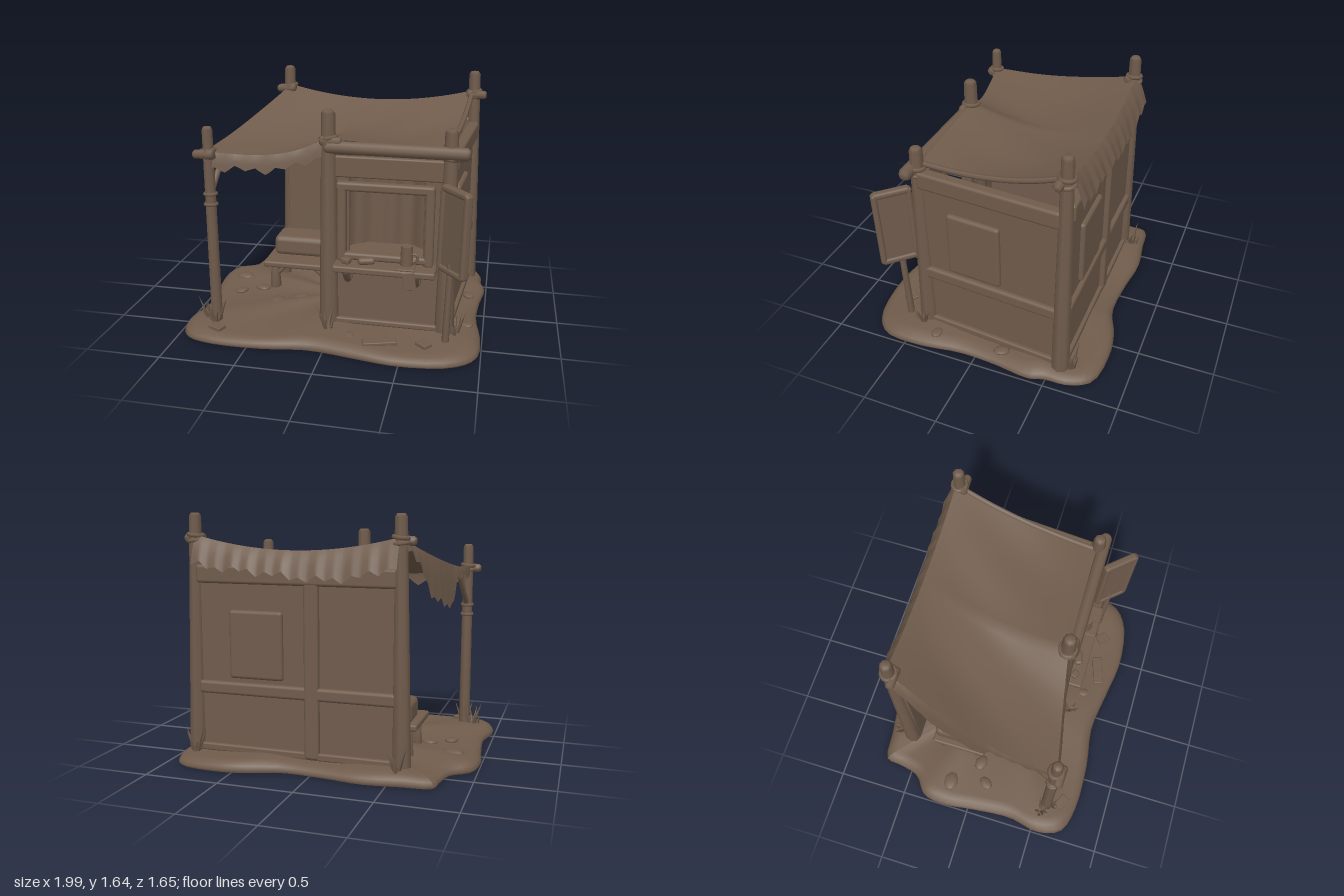
import * as THREE from 'three';
import { RoundedBoxGeometry } from 'three/addons/geometries/RoundedBoxGeometry.js';

const clay = new THREE.MeshStandardMaterial({ color: 0x705c4c, side: THREE.DoubleSide });
clay.name = 'brown clay';
const V = (x, y, z) => new THREE.Vector3(x, y, z);
const { lerp, smoothstep } = THREE.MathUtils;

function add(parent, name, geo, x = 0, y = 0, z = 0) {
  const m = new THREE.Mesh(geo, clay);
  m.name = name;
  m.position.set(x, y, z);
  parent.add(m);
  return m;
}
const block = (p, name, w, h, d, x, y, z, r = 0.012) =>
  add(p, name, new RoundedBoxGeometry(w, h, d, 2, Math.min(r, w / 2.1, h / 2.1, d / 2.1)), x, y, z);

// Tapered pole between two points, with chamfered ends
function pole(p, name, a, b, r0, r1, sides = 8) {
  const len = a.distanceTo(b), c = Math.min(0.02, len * 0.1);
  const pts = [[0, 0], [r0 * 0.7, 0], [r0, c], [lerp(r0, r1, 0.45), len * 0.45], [r1, len - c], [r1 * 0.65, len], [0, len]];
  const m = add(p, name, new THREE.LatheGeometry(pts.map(q => new THREE.Vector2(...q)), sides), a.x, a.y, a.z);
  m.quaternion.setFromUnitVectors(V(0, 1, 0), b.clone().sub(a).normalize());
  return m;
}

// Sheet whose points follow a rule of u and v
function sheet(p, name, rule, nu, nv) {
  const geo = new THREE.PlaneGeometry(1, 1, nu, nv), pos = geo.attributes.position;
  for (let i = 0; i < pos.count; i++) pos.setXYZ(i, ...rule(pos.getX(i) + 0.5, 0.5 - pos.getY(i)));
  geo.computeVertexNormals();
  return add(p, name, geo);
}

// Heights and depths of the awning
function awningPoint(u, v) {
  const leftX = lerp(-0.54, -0.79, Math.sin(v * Math.PI / 2)), rightX = lerp(0.82, 0.73, v);
  const frontZ = u < 0.52 ? lerp(0.57, 0.42, u / 0.52) : lerp(0.42, 0.41, (u - 0.52) / 0.48);
  const back = 1.5 - 0.36 * u * (1 - u);
  const t = u / 0.5;
  const front = u < 0.5 ? lerp(1.25, 1.35, t) - 0.4 * t * (1 - t) * (0.4 + 0.6 * t) : lerp(1.35, 1.31, t - 1);
  const sag = 0.085 * Math.sin(Math.PI * v) * (0.75 + 0.25 * Math.sin(Math.PI * u));
  const ripple = 0.006 * Math.sin(u * 17 + v * 5) * Math.sin(Math.PI * v);
  return [lerp(leftX, rightX, u), lerp(back, front, v) - sag + ripple, lerp(-0.59, frontZ, v)];
}
// Ragged zigzag edge
const jag = s => 0.035 * Math.abs(((s * 12) % 1) * 2 - 1) + 0.012 * Math.sin(s * 31);

// Framed wall: local x runs along it, +z points outward
function wall(parent, name, length, height, panelX, posts) {
  const g = new THREE.Group();
  g.name = name;
  parent.add(g);
  block(g, 'wallBoards', length, height - 0.06, 0.03, 0, height / 2 + 0.03, 0);
  block(g, 'topBeam', length, 0.12, 0.08, 0, height - 0.05, 0.01, 0.02);
  block(g, 'middleBeam', length, 0.085, 0.07, 0, 0.5, 0.01, 0.02);
  block(g, 'sillBeam', length, 0.05, 0.06, 0, 0.09, 0.01);
  posts.forEach(x => block(g, 'wallStud', 0.1, height - 0.1, 0.075, x, height / 2 + 0.02, 0.01, 0.02));
  block(g, 'shutter', 0.37, 0.45, 0.055, panelX, 0.795, 0.015, 0.022);
  return g;
}

export function createModel() {
  const root = new THREE.Group();
  root.name = 'marketStall';

  // Uneven ground slab
  const rim = new THREE.CatmullRomCurve3([
    [-0.79, -0.71], [-0.6, -0.74], [-0.35, -0.77], [-0.1, -0.74], [0.2, -0.73], [0.4, -0.8], [0.6, -0.83],
    [0.87, -0.79], [0.95, -0.65], [0.96, -0.5], [0.99, -0.4], [0.96, -0.15], [0.95, 0.1], [0.99, 0.4],
    [0.97, 0.65], [0.83, 0.77], [0.5, 0.82], [0.2, 0.78], [-0.1, 0.74], [-0.4, 0.78], [-0.75, 0.78],
    [-0.93, 0.72], [-0.99, 0.55], [-0.95, 0.33], [-0.97, 0.05], [-1, -0.2], [-0.97, -0.35], [-0.85, -0.45], [-0.81, -0.6],
  ].map(q => V(q[0], 0, q[1])), true);
  const rings = [[0, 0], [0.99, 0.004], [0.99, 0.004], [1, 0.02], [0.985, 0.043], [0.95, 0.064], [0.9, 0.074], [0.6, 0.08], [0, 0.085]];
  sheet(root, 'ground', (u, v) => {
    const q = rim.getPoint(u % 1), [s, y] = rings[Math.round(v * 8)];
    return [q.x * s, y * (1 + 0.12 * Math.sin(u * 44)), q.z * s];
  }, 90, 8);

  // Main posts with rope knots and crossing pegs
  [['backRightPost', 0.83, -0.57, 1.64, 0.062, 0.04, 1.48], ['backLeftPost', -0.54, -0.57, 1.64, 0.062, 0.04, 1.48],
    ['frontMiddlePost', -0.02, 0.42, 1.52, 0.07, 0.045, 1.33], ['frontCornerPost', 0.75, 0.42, 1.43, 0.066, 0.042, 1.27],
    ['frontLeftPost', -0.77, 0.56, 1.41, 0.04, 0.036, 1.24]].forEach(([name, x, z, top, r0, r1, tie]) => {
    const lean = name.startsWith('back') ? Math.sign(x) * -0.02 : 0;
    pole(root, name, V(x - lean, 0.03, z), V(x, top, z), r0, r1);
    for (const dy of [-0.018, 0.018]) {
      const ring = add(root, 'ropeRing', new THREE.TorusGeometry(r1 + 0.006, 0.014, 6, 12), x, tie + dy, z);
      ring.rotation.set(Math.PI / 2, dy * 7, 0);
    }
    const s = x < -0.1 ? -1 : 1;
    pole(root, 'peg', V(x - s * 0.05, tie, z + 0.03), V(x + s * 0.09, tie - 0.005, z + 0.03), 0.034, 0.03, 7);
  });
  for (const y of [0.9, 0.97]) add(root, 'ropeRing', new THREE.TorusGeometry(0.037, 0.012, 6, 12), -0.77, y, 0.56).rotation.x = 1.5;
  pole(root, 'awningBrace', V(-0.77, 0.97, 0.55), V(-0.74, 1.2, 0.36), 0.02, 0.018, 6);

  // Walls
  const side = wall(root, 'rightWall', 0.96, 1.27, -0.105, []);
  side.position.set(0.79, 0, -0.07);
  side.rotation.y = Math.PI / 2 - 0.08;
  const rear = wall(root, 'backWall', 1.34, 1.3, -0.26, [0.12]);
  rear.position.set(0.145, 0, -0.57);
  rear.rotation.y = Math.PI;
  block(root, 'innerBoards', 0.5, 1.3, 0.03, -0.31, 0.72, -0.525);
  block(root, 'partition', 0.03, 1.14, 0.95, -0.04, 0.64, -0.08);
  block(root, 'partitionBeam', 0.06, 0.08, 0.95, -0.04, 1.19, -0.08);

  // Serving front: beams, boards, frame and shelf
  pole(root, 'frontBeam', V(-0.04, 1.29, 0.45), V(0.87, 1.285, 0.45), 0.042, 0.042);
  block(root, 'frontLintel', 0.74, 0.14, 0.04, 0.37, 1.16, 0.41);
  block(root, 'lowerBoards', 0.74, 0.46, 0.04, 0.37, 0.3, 0.41);
  block(root, 'frontSill', 0.74, 0.04, 0.07, 0.37, 0.1, 0.42);
  for (const x of [0.05, 0.66]) block(root, 'sideBoard', 0.13, 0.64, 0.04, x, 0.8, 0.4);
  for (const x of [0.07, 0.635]) block(root, 'windowJamb', 0.06, 0.54, 0.06, x, 0.8, 0.44, 0.018);
  block(root, 'windowHead', 0.63, 0.06, 0.06, 0.35, 1.04, 0.44, 0.018);
  block(root, 'windowSill', 0.6, 0.05, 0.06, 0.35, 0.57, 0.44, 0.018);
  block(root, 'shelf', 0.66, 0.045, 0.16, 0.36, 0.515, 0.49);
  for (const x of [0.11, 0.56]) {
    pole(root, 'shelfBracket', V(x, 0.39, 0.43), V(x, 0.5, 0.53), 0.025, 0.025, 6);
    block(root, 'bracketFoot', 0.06, 0.1, 0.04, x, 0.45, 0.44);
  }
  sheet(root, 'windowCurtain', (u, v) => {
    const a = Math.PI * u;
    return [0.35 - 0.29 * Math.cos(a), lerp(1.06, 0.54, v), 0.4 - (0.24 + 0.012 * Math.sin(u * 40)) * Math.sin(a)];
  }, 40, 2);
  block(root, 'counter', 0.58, 0.03, 0.24, 0.35, 0.56, 0.3);

  // Goods on the shelf
  add(root, 'mug', new THREE.CylinderGeometry(0.038, 0.042, 0.14, 10), 0.5, 0.61, 0.48);
  add(root, 'mugHandle', new THREE.TorusGeometry(0.026, 0.009, 6, 10), 0.545, 0.6, 0.48);
  block(root, 'napkin', 0.12, 0.012, 0.13, 0.5, 0.543, 0.5, 0.005);
  block(root, 'napkinDrop', 0.08, 0.12, 0.01, 0.53, 0.475, 0.575, 0.004).rotation.z = 0.15;
  block(root, 'loaf', 0.11, 0.045, 0.06, 0.24, 0.56, 0.49, 0.02).rotation.y = 0.3;
  block(root, 'smallBox', 0.06, 0.04, 0.05, 0.11, 0.555, 0.5).rotation.y = -0.4;

  // Blank signboard on its own pole
  const sign = new THREE.Group();
  sign.name = 'signboard';
  sign.position.set(0.798, 0.83, 0.59);
  sign.rotation.set(0, -0.82, -0.03);
  root.add(sign);
  block(sign, 'signPanel', 0.22, 0.5, 0.03, 0, 0, 0);
  for (const s of [-1, 1]) {
    block(sign, 'signEdge', 0.04, 0.55, 0.055, s * 0.11, 0, 0, 0.018);
    block(sign, 'signRail', 0.24, 0.045, 0.055, 0, s * 0.26, 0, 0.018);
  }
  pole(root, 'signPole', V(0.77, 0.04, 0.56), V(0.785, 0.62, 0.58), 0.024, 0.02);

  // Sagging awning and its ragged flaps
  const top = sheet(root, 'awning', awningPoint, 36, 24);
  const under = add(root, 'awningLining', top.geometry, 0, -0.014, 0);
  under.scale.set(0.998, 1, 0.998);
  sheet(root, 'backFlap', (u, v) => {
    const [x, y, z] = awningPoint(u, 0);
    return [x, y - v * (0.15 + jag(u) + 0.02 * Math.sin(u * 7)), z - 0.08 * v ** 0.7];
  }, 96, 4);
  sheet(root, 'frontFlap', (u, v) => {
    const [x, y, z] = awningPoint(u * 0.5, 1);
    return [x, y - v * (0.08 + jag(u * 0.5)), z + 0.02 * Math.sqrt(v)];
  }, 48, 3);
  sheet(root, 'leftFlap', (u, v) => {
    const [x, y, z] = awningPoint(0, u);
    const drop = 0.05 + 0.22 * smoothstep(u, 0.02, 0.32) * (1 - smoothstep(u, 0.54, 0.64)) + jag(u);
    return [x - 0.05 * Math.sqrt(v) * (1 - u), y - v * drop, z];
  }, 72, 4);
  const hem = [0, 0.25, 0.5, 0.75, 1].map(v => V(...awningPoint(1, v)));
  add(root, 'awningHem', new THREE.TubeGeometry(new THREE.CatmullRomCurve3(hem), 20, 0.018, 6));

  // Bench with bolster
  block(root, 'benchSeat', 0.51, 0.045, 0.4, -0.355, 0.27, -0.18, 0.015);
  block(root, 'benchBolster', 0.43, 0.15, 0.24, -0.355, 0.36, -0.25, 0.04);
  for (const x of [-0.54, -0.16]) for (const z of [-0.32, -0.05]) {
    pole(root, 'benchLeg', V(x, 0.05, z), V(x, 0.26, z), 0.042, 0.032, 7);
    pole(root, 'benchBrace', V(x, 0.16, z), V(x + (x < -0.3 ? 0.09 : -0.09), 0.25, z), 0.015, 0.015, 5);
  }

  // Grass tufts
  [[-0.77, 0.59], [-0.84, 0.54], [-0.02, 0.53], [0.82, 0.44], [0.84, -0.64], [-0.54, -0.65]].forEach(([x, z], k) => {
    for (let i = 0; i < 7; i++) {
      const a = i * 2.4 + k, h = 0.09 + 0.03 * ((i * 3 + k) % 4), r = 0.03 + 0.01 * (i % 3);
      const blade = add(root, 'grassBlade', new THREE.ConeGeometry(0.016, h, 4), x + r * Math.cos(a), 0.06 + h / 2, z + r * Math.sin(a));
      blade.rotation.set(0.35 * Math.sin(a), 0, -0.35 * Math.cos(a));
    }
  });

  // Flat stones and planks on the ground
  [[-0.82, -0.18, 0.06], [-0.76, 0.08, 0.045], [0.88, -0.17, 0.045], [0.89, 0.3, 0.04], [-0.3, 0.1, 0.05],
    [-0.45, 0.2, 0.06], [-0.62, 0.0, 0.05], [-0.55, 0.32, 0.04], [0.15, 0.6, 0.04]].forEach(([x, z, r], i) => {
    const stone = add(root, 'stone', new THREE.IcosahedronGeometry(r, 1), x, 0.075, z);
    stone.scale.set(1.2, 0.35, 0.9);
    stone.rotation.y = i;
  });
  [[0.36, 0.66, 0.22, 0.3], [0.64, 0.63, 0.09, -0.7], [-0.73, 0.67, 0.1, -0.4]].forEach(([x, z, w, a]) => {
    block(root, 'groundPlank', w, 0.025, 0.07, x, 0.078, z, 0.006).rotation.y = a;
  });
  return root;
}
